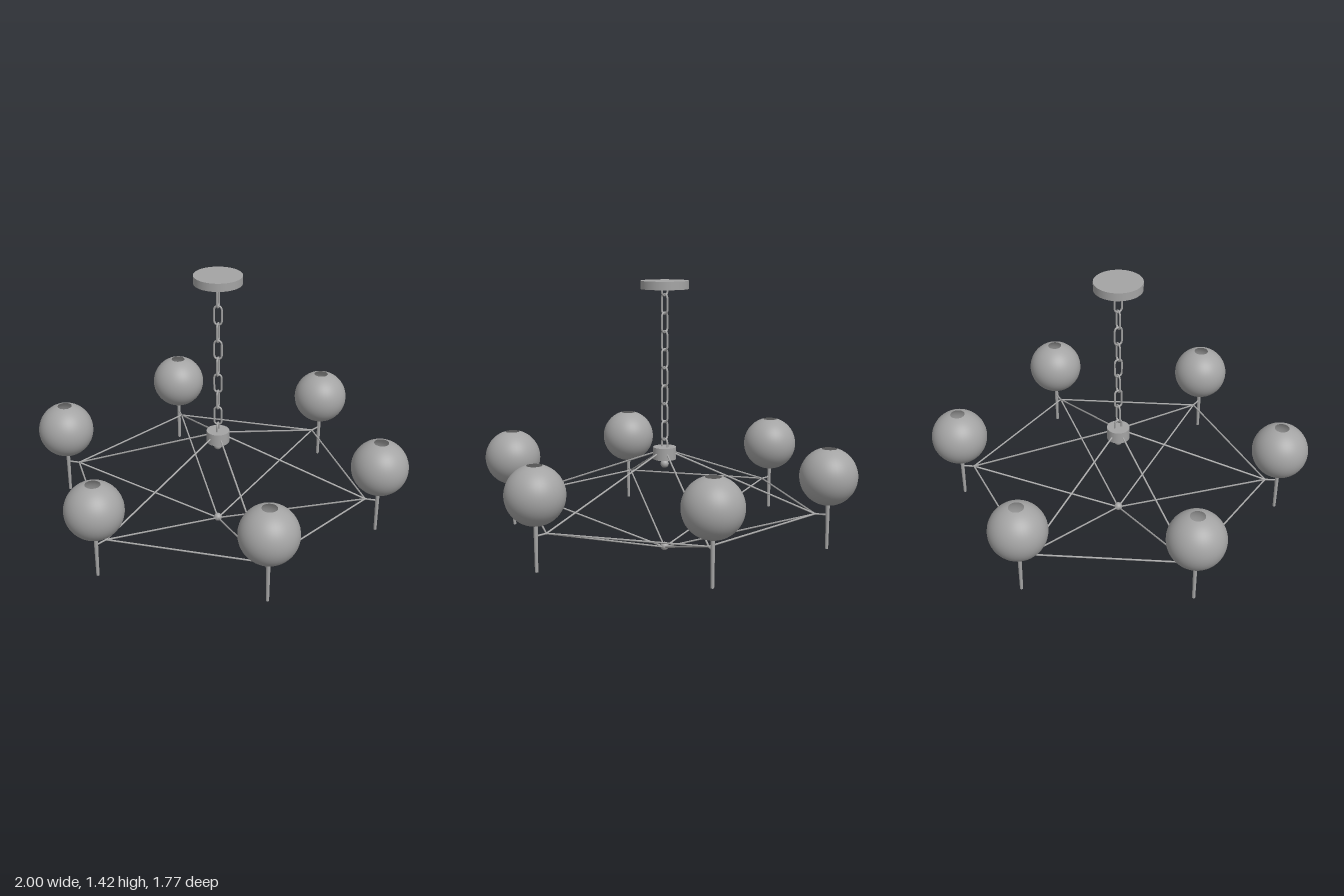
import * as THREE from 'three';

const GREY = 0xa4a4a4;
const metal = new THREE.MeshStandardMaterial({ color: GREY });
const glass = new THREE.MeshStandardMaterial({ color: GREY, side: THREE.DoubleSide });

const ARMS = 6;
const FRAME_Y = 0.255, FRAME_R = 0.79, LAMP_R = 0.853;

function add(parent, name, geometry, x = 0, y = 0, z = 0, material = metal) {
  const mesh = new THREE.Mesh(geometry, material);
  mesh.name = name;
  mesh.position.set(x, y, z);
  parent.add(mesh);
  return mesh;
}

// Straight round rod between two points
function rod(parent, name, a, b, radius = 0.0045) {
  const dir = b.clone().sub(a);
  const mesh = add(parent, name, new THREE.CylinderGeometry(radius, radius, dir.length(), 10));
  mesh.position.copy(a).add(b).multiplyScalar(0.5);
  mesh.quaternion.setFromUnitVectors(new THREE.Vector3(0, 1, 0), dir.normalize());
}

// Stadium-shaped chain link, measured over its outside
function linkGeometry(height, width = 0.05, wire = 0.0053) {
  const r = width / 2 - wire, h = height / 2 - wire - r;
  const path = new THREE.CurvePath();
  const points = [];
  for (const side of [0, 1]) {
    for (let i = 0; i <= 8; i++) {
      const t = (side + i / 8) * Math.PI;
      points.push(new THREE.Vector3(r * Math.cos(t), (side ? -h : h) + r * Math.sin(t), 0));
    }
  }
  points.forEach((p, i) => path.add(new THREE.LineCurve3(p, points[(i + 1) % points.length])));
  return new THREE.TubeGeometry(path, 48, wire, 8, true);
}

// Point at a given radius and height on arm number i
function polar(i, radius, y) {
  const a = (i / ARMS) * Math.PI * 2;
  return new THREE.Vector3(radius * Math.cos(a), y, radius * Math.sin(a));
}

function makeLamp() {
  const lamp = new THREE.Group();
  lamp.name = 'lamp';
  add(lamp, 'stem', new THREE.CylinderGeometry(0.011, 0.008, 0.26, 14), 0, 0.208, 0);
  // Socket with a rounded bulb tip
  add(lamp, 'socket', new THREE.CylinderGeometry(0.021, 0.021, 0.03, 20), 0, 0.328, 0);
  add(lamp, 'bulb', new THREE.SphereGeometry(0.021, 20, 14), 0, 0.343, 0);
  // Globe shade with a round opening on top
  const opening = Math.asin(0.038 / 0.147);
  add(lamp, 'globe', new THREE.SphereGeometry(0.147, 40, 28, 0, Math.PI * 2, opening, Math.PI - opening),
    0, 0.454, 0, glass);
  return lamp;
}

export function createModel() {
  const model = new THREE.Group();
  model.name = 'chandelier';

  // Ceiling plate
  add(model, 'canopy', new THREE.CylinderGeometry(0.123, 0.123, 0.042, 48), 0, 1.397, 0);

  // Chain of alternating links, the end ones shortened
  const chain = new THREE.Group();
  chain.name = 'chain';
  model.add(chain);
  for (let i = 0; i < 10; i++) {
    let height = 0.112, y = 1.393 - i * 0.0935;
    if (i === 0) { height = 0.07; y = 1.372; }
    if (i === 9) { height = 0.08; y = 0.568; }
    add(chain, 'chainLink', linkGeometry(height), 0, y, 0).rotation.y = i % 2 ? Math.PI / 2 : 0;
  }

  // Hub with the finials
  add(model, 'hub', new THREE.CylinderGeometry(0.06, 0.06, 0.064, 32), 0, 0.527, 0);
  add(model, 'hubNeck', new THREE.CylinderGeometry(0.007, 0.007, 0.03, 12), 0, 0.485, 0);
  add(model, 'hubFinial', new THREE.SphereGeometry(0.022, 20, 14), 0, 0.469, 0);
  add(model, 'bottomFinial', new THREE.SphereGeometry(0.022, 20, 14), 0, 0.022, 0);

  // Double-pyramid wire frame and the lamps at its corners
  const frame = new THREE.Group();
  frame.name = 'frame';
  model.add(frame);
  const bottom = new THREE.Vector3(0, 0.016, 0);
  for (let i = 0; i < ARMS; i++) {
    const corner = polar(i, FRAME_R, FRAME_Y);
    rod(frame, 'rimRod', corner, polar(i + 1, FRAME_R, FRAME_Y));
    rod(frame, 'upperRod', corner, polar(i, 0.04, 0.532));
    rod(frame, 'lowerRod', corner, bottom);
    rod(frame, 'lampArm', corner, polar(i, LAMP_R, FRAME_Y));
    add(frame, 'cornerJoint', new THREE.SphereGeometry(0.006, 12, 8), corner.x, corner.y, corner.z);
    const lamp = makeLamp();
    lamp.position.copy(polar(i, LAMP_R, 0));
    model.add(lamp);
  }
  return model;
}
